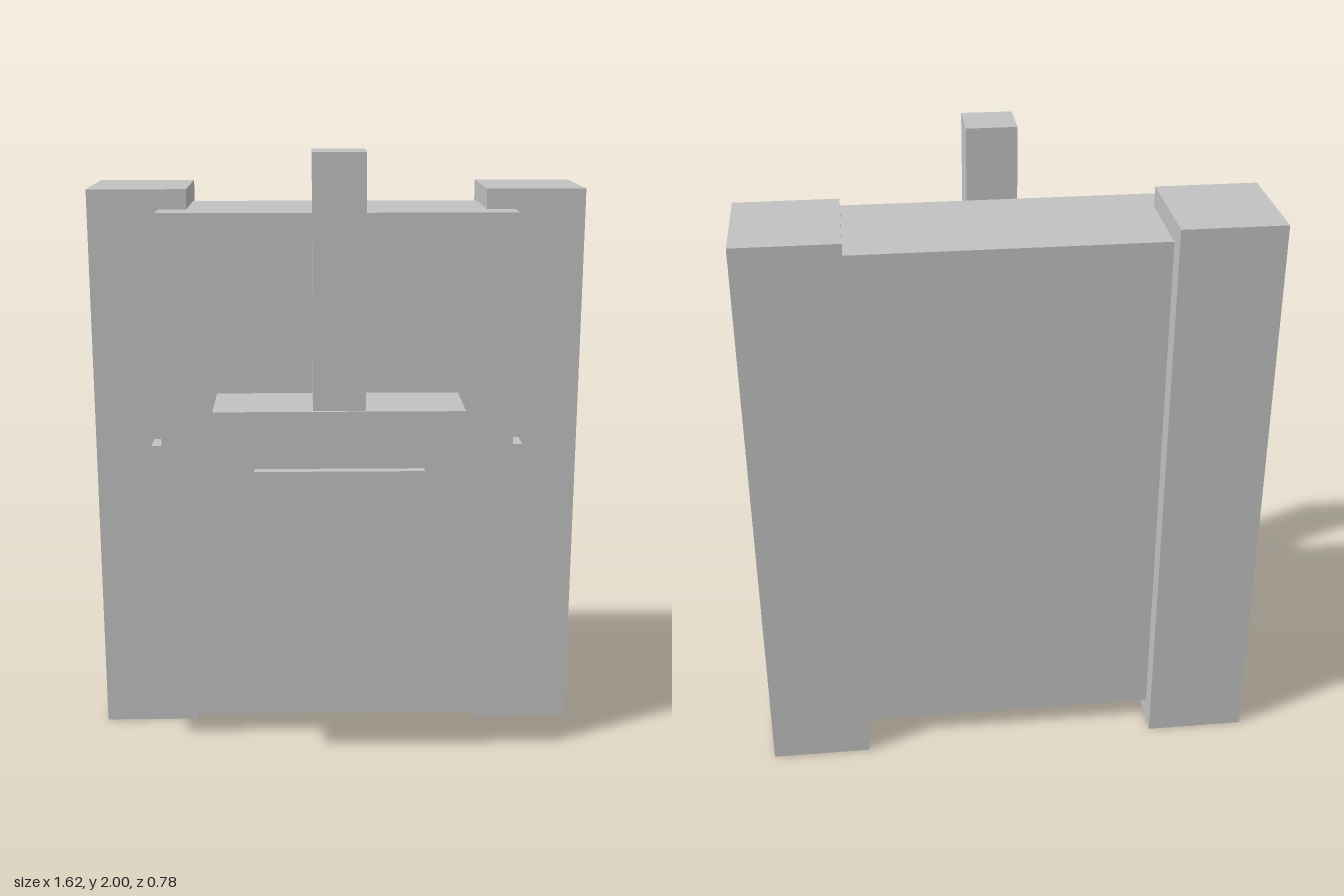
import * as THREE from 'three';

export function createModel() {
  const model = new THREE.Group();
  model.name = 'uprightTank';
  const grey = new THREE.MeshStandardMaterial({ color: 0xc0c0c0 });
  grey.name = 'plain grey';

  // Box given by its lower and upper limits on each axis
  function block(name, [x0, x1], [y0, y1], [z0, z1]) {
    const mesh = new THREE.Mesh(new THREE.BoxGeometry(x1 - x0, y1 - y0, z1 - z0), grey);
    mesh.position.set((x0 + x1) / 2, (y0 + y1) / 2, (z0 + z1) / 2);
    mesh.name = name;
    model.add(mesh);
  }

  // Hull, turret, hatch and gun, standing on end
  block('hull', [-0.581, 0.581], [0.073, 1.795], [-0.321, 0.092]);
  block('turret', [-0.394, 0.394], [0.47, 1.21], [0.092, 0.358]);
  block('hatch', [-0.266, 0.266], [0.655, 1.027], [0.358, 0.392]);
  block('gunBarrel', [-0.082, 0.082], [1.21, 2], [0.18, 0.346]);

  // Tracks and side panels, mirrored
  for (const [side, s] of [['left', 1], ['right', -1]]) {
    const span = (a, b) => (s > 0 ? [a, b] : [-b, -a]);
    block(side + 'Track', span(0.488, 0.811), [0, 1.86], [-0.392, -0.024]);
    block(side + 'SidePanel', span(0.581, 0.616), [0.47, 1.027], [-0.024, 0.066]);
  }
  return model;
}
